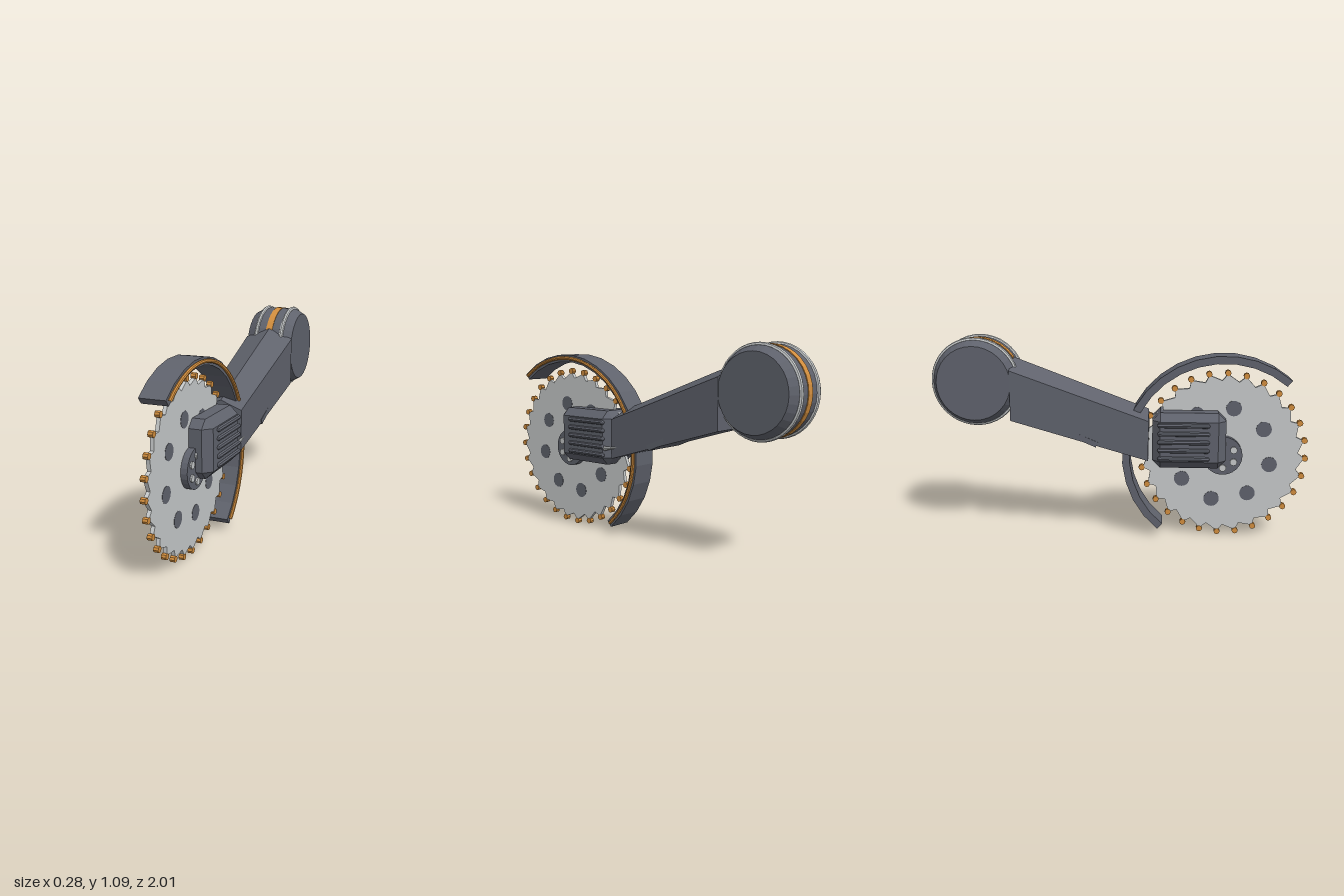
import * as THREE from 'three';
import { ConvexGeometry } from 'three/addons/geometries/ConvexGeometry.js';

const mat = (name, color) => Object.assign(new THREE.MeshStandardMaterial({ color, flatShading: true }), { name });

export function createModel() {
  const model = new THREE.Group();
  const steel = mat('dark steel', 0x5f626c);
  const light = mat('light metal', 0xc6c9ca);
  const orange = mat('orange', 0xd28e3e);

  const add = (parent, name, geometry, material, x = 0, y = 0, z = 0) => {
    const mesh = new THREE.Mesh(geometry, material);
    mesh.name = name;
    mesh.position.set(x, y, z);
    parent.add(mesh);
    return mesh;
  };

  // Saw group: local x runs forward, local y up, local z to the model's right
  const saw = new THREE.Group();
  saw.name = 'saw';
  saw.position.set(0, 0.46, 0.548);
  saw.rotation.y = -Math.PI / 2;
  model.add(saw);
  const disc = (r, depth, sides) => new THREE.CylinderGeometry(r, r, depth, sides).rotateX(Math.PI / 2);

  // Toothed blade with a roller on every tip
  const teeth = 28, step = Math.PI * 2 / teeth, phase = 1.53;
  const outline = [];
  for (let i = 0; i < teeth; i++) {
    const a = phase + i * step;
    outline.push(new THREE.Vector2(Math.cos(a) * 0.437, Math.sin(a) * 0.437));
    outline.push(new THREE.Vector2(Math.cos(a + step * 0.3) * 0.402, Math.sin(a + step * 0.3) * 0.402));
    add(saw, 'toothTip', disc(0.0165, 0.026, 8), orange, Math.cos(a) * 0.4425, Math.sin(a) * 0.4425, 0);
  }
  const bladeShape = new THREE.Shape(outline);
  add(saw, 'blade', new THREE.ExtrudeGeometry(bladeShape, { depth: 0.02, bevelEnabled: false }).translate(0, 0, -0.01), light);

  // Dark round inlays in the blade
  for (let i = 0; i < 8; i++) {
    const a = 1.36 + i * Math.PI / 4;
    add(saw, 'bladeInlay', disc(0.042, 0.023, 20), steel, Math.cos(a) * 0.258, Math.sin(a) * 0.258, 0);
  }

  // Hub and bolts
  add(saw, 'hub', disc(0.105, 0.09, 24), steel);
  for (let i = 0; i < 6; i++) {
    const a = Math.PI / 6 + i * Math.PI / 3;
    add(saw, 'hubBolt', disc(0.019, 0.108, 10), light, Math.cos(a) * 0.066, Math.sin(a) * 0.066, 0);
  }

  // Half-round guard with a trim tube on its left edge
  const start = Math.PI * 50 / 180, parts = 16;
  const arc = (r) => Array.from({ length: parts + 1 }, (_, i) => {
    const a = start + Math.PI * i / parts;
    return new THREE.Vector2(Math.cos(a) * r, Math.sin(a) * r);
  });
  const guardShape = new THREE.Shape([...arc(0.54), ...arc(0.5).reverse()]);
  add(saw, 'guard', new THREE.ExtrudeGeometry(guardShape, { depth: 0.136, bevelEnabled: false }).translate(0, 0, -0.068), steel);
  const trim = new THREE.TorusGeometry(0.52, 0.01, 8, 32, Math.PI * 0.985).rotateZ(start + 0.02);
  add(saw, 'guardTrim', trim, orange, 0, 0, -0.075);

  // Motor housing: a box with every edge chamfered
  const half = [0.12, 0.15, 0.195], c = 0.042, corners = [];
  for (const sx of [-1, 1]) for (const sy of [-1, 1]) for (const sz of [-1, 1]) {
    for (let k = 0; k < 3; k++) {
      const p = half.map((h, i) => (i === k ? h : h - c));
      corners.push(new THREE.Vector3(p[0] * sx, p[1] * sy, p[2] * sz));
    }
  }
  add(model, 'motorHousing', new ConvexGeometry(corners), steel, 0, 0.55, 0.365);

  // Cooling ribs on both sides
  for (const side of [-1, 1]) {
    for (let i = 0; i < 5; i++) {
      const rib = new THREE.CapsuleGeometry(0.013, 0.25, 3, 8).rotateX(Math.PI / 2);
      add(model, 'coolingRib', rib, steel, side * 0.123, 0.46 + i * 0.045, 0.335);
    }
  }

  // Arm: tapered beam with a shallow ridged top
  const section = (z, w, bottom, shoulder, ridge) => [
    [-w, bottom], [w, bottom], [w, shoulder], [-w, shoulder], [0, ridge],
  ].map(([x, y]) => new THREE.Vector3(x, y, z));
  add(model, 'arm', new ConvexGeometry([
    ...section(0.15, 0.115, 0.445, 0.66, 0.705),
    ...section(-0.575, 0.14, 0.66, 0.925, 0.98),
  ]), steel);

  // Small clamp under the arm and pin beside the motor
  const clamp = add(model, 'armClamp', new THREE.BoxGeometry(0.256, 0.03, 0.15), steel, 0, 0.562, -0.19);
  clamp.rotation.x = 0.4;
  const pin = add(model, 'sidePin', new THREE.ConeGeometry(0.013, 0.11, 8), light, 0.115, 0.505, 0.145);
  pin.rotation.x = -Math.PI / 2 + 0.15;

  // Rear drum lying on the x axis
  const drum = new THREE.Group();
  drum.name = 'drum';
  drum.position.set(0, 0.855, -0.765);
  drum.rotation.z = -Math.PI / 2;
  model.add(drum);
  const profile = [[0, -0.137], [0.195, -0.137], [0.224, -0.085], [0.224, 0.085], [0.195, 0.137], [0, 0.137]]
    .map(([r, y]) => new THREE.Vector2(r, y));
  add(drum, 'drumBody', new THREE.LatheGeometry(profile, 32), steel);
  add(drum, 'drumStripe', new THREE.CylinderGeometry(0.228, 0.228, 0.038, 32), orange);
  for (const side of [-1, 1]) {
    const ring = new THREE.TorusGeometry(0.2225, 0.0125, 8, 40).rotateX(Math.PI / 2);
    add(drum, 'drumRing', ring, light, 0, side * 0.077, 0);
  }
  return model;
}
